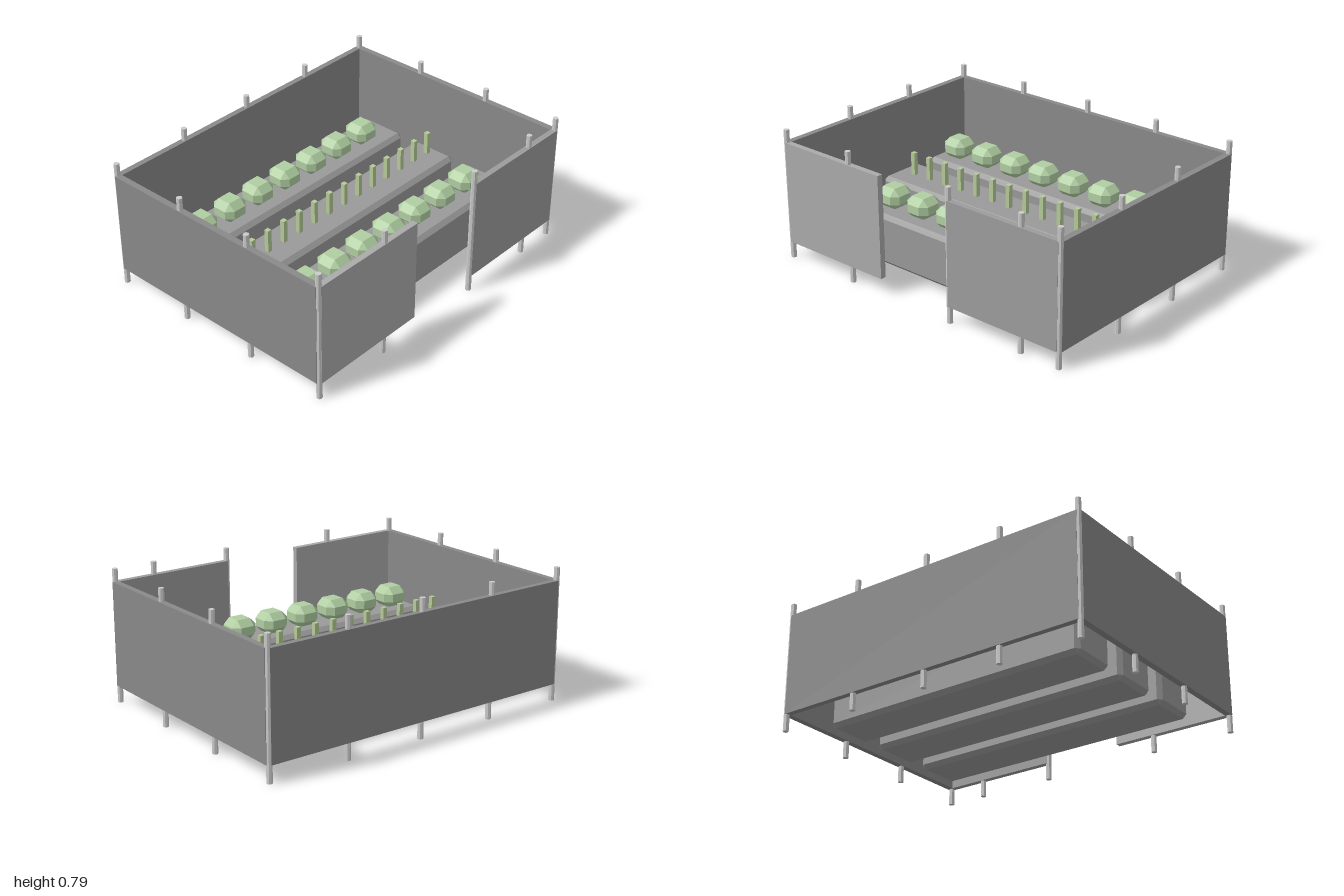
import * as THREE from 'three';
import { ConvexGeometry } from 'three/addons/geometries/ConvexGeometry.js';

const paint = (color) => new THREE.MeshStandardMaterial({ color, flatShading: true });
const grey = paint(0xcccccc);
const darkPanel = paint(0x898989);
const midPanel = paint(0x9c9c9c);
const lightPanel = paint(0xaaaaaa);
const bedGrey = paint(0x999999);
const leaf = paint(0xb0cea2);
const stem = paint(0xb6ca98);

// Box with every edge and corner cut off by c
function chamferBox(w, h, d, c) {
  const points = [];
  for (const sx of [-1, 1]) for (const sy of [-1, 1]) for (const sz of [-1, 1]) {
    const x = w / 2, y = h / 2, z = d / 2;
    points.push(
      new THREE.Vector3(sx * x, sy * (y - c), sz * (z - c)),
      new THREE.Vector3(sx * (x - c), sy * y, sz * (z - c)),
      new THREE.Vector3(sx * (x - c), sy * (y - c), sz * z));
  }
  return new ConvexGeometry(points);
}

export function createModel() {
  const model = new THREE.Group();

  function add(parent, name, geometry, material, x, y, z) {
    const mesh = new THREE.Mesh(geometry, material);
    mesh.name = name;
    mesh.position.set(x, y, z);
    parent.add(mesh);
  }
  function group(name) {
    const g = new THREE.Group();
    g.name = name;
    model.add(g);
    return g;
  }

  // Fence panels, with an entrance gap at the front
  const fence = group('fence');
  const panel = (name, material, x0, x1, z0, z1) => add(fence, name,
    new THREE.BoxGeometry(x1 - x0, 0.61, z1 - z0), material, (x0 + x1) / 2, 0.405, (z0 + z1) / 2);
  panel('backPanel', darkPanel, -0.98, 0.98, -0.753, -0.718);
  panel('frontRightPanel', lightPanel, -0.98, -0.25, 0.716, 0.751);
  panel('frontLeftPanel', midPanel, 0.243, 0.98, 0.716, 0.751);
  panel('rightPanel', darkPanel, -1, -0.963, -0.735, 0.733);
  panel('leftPanel', darkPanel, 0.963, 1, -0.735, 0.733);

  // Posts run through the panels from the ground to above the top edge
  const posts = group('posts');
  const postGeo = new THREE.CylinderGeometry(0.0165, 0.0165, 0.785, 8);
  const post = (x, z) => add(posts, 'post', postGeo, grey, x, 0.3925, z);
  for (const x of [-0.981, -0.49, 0, 0.49, 0.981]) post(x, -0.7355);
  for (const x of [-0.981, -0.49, 0.243, 0.733, 0.981]) post(x, 0.7335);
  for (const x of [-0.981, 0.981]) for (const z of [-0.245, 0.243]) post(x, z);

  // Three long planting beds
  const beds = group('beds');
  const bedGeo = chamferBox(1.665, 0.305, 0.293, 0.024);
  for (const z of [-0.393, 0, 0.393]) add(beds, 'bed', bedGeo, bedGrey, 0, 0.2025, z);

  // Rounded bushes on the outer beds
  const bushes = group('bushes');
  const bushGeo = chamferBox(0.16, 0.125, 0.16, 0.038);
  for (const z of [-0.393, 0.39])
    for (let i = 0; i < 7; i++) add(bushes, 'bush', bushGeo, leaf, -0.71 + i * 0.22, 0.411, z);

  // Row of upright stalks on the middle bed
  const stalks = group('stalks');
  const stalkGeo = new THREE.BoxGeometry(0.027, 0.145, 0.027);
  for (let i = 0; i < 13; i++) add(stalks, 'stalk', stalkGeo, stem, -0.71 + i * 0.1222, 0.42, 0);

  return model;
}
